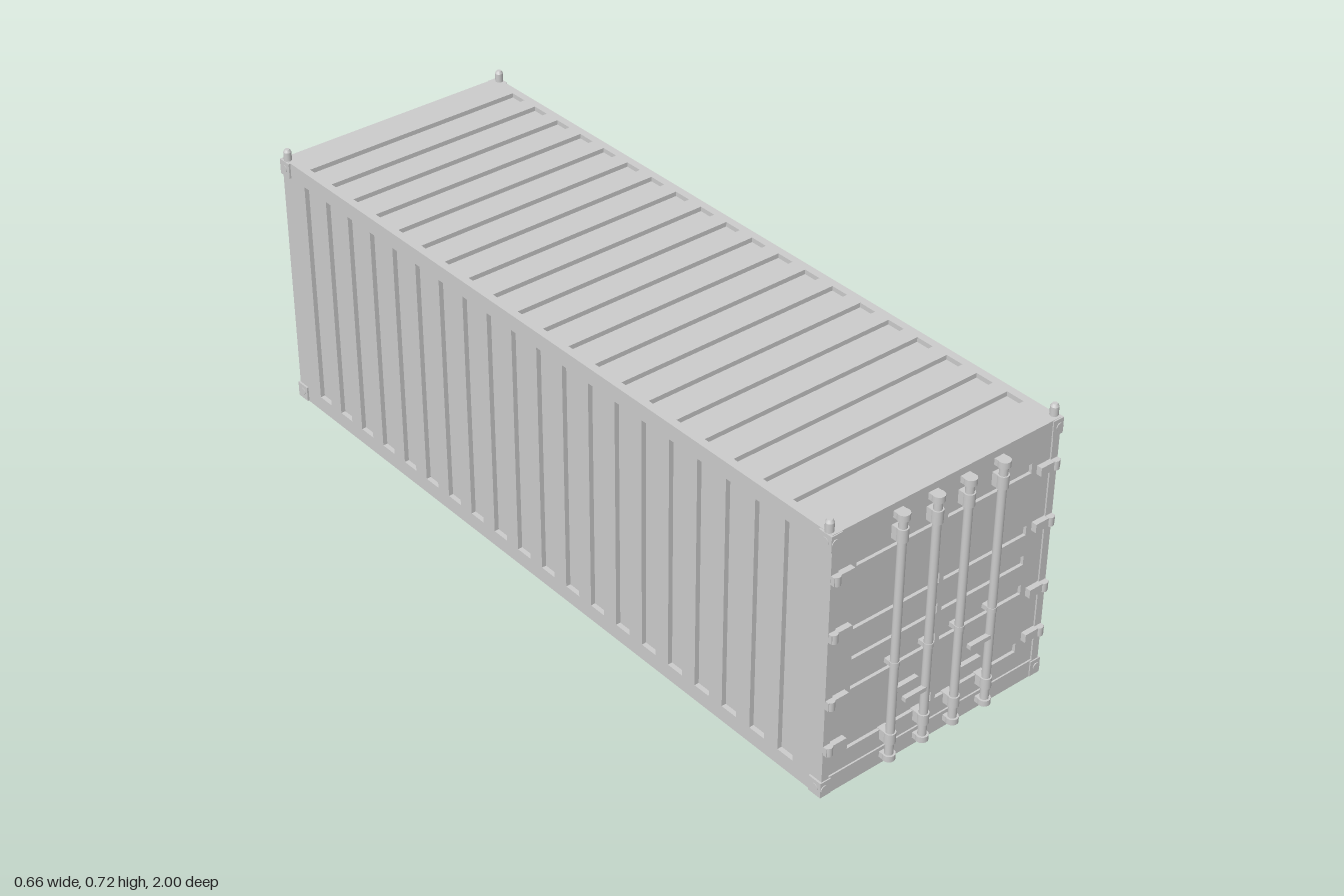
import * as THREE from 'three';

const W = 0.65, H = 0.692, L = 1.963, ZC = -0.0135; // body size and its z centre
const D = 0.012; // groove depth
const mat = new THREE.MeshStandardMaterial({ color: 0xcccccc });

function add(parent, name, geometry, x = 0, y = 0, z = 0) {
  const mesh = new THREE.Mesh(geometry, mat);
  mesh.name = name;
  mesh.position.set(x, y, z);
  parent.add(mesh);
  return mesh;
}

const box = (w, h, d) => new THREE.BoxGeometry(w, h, d);
const cylinder = (r, h, n = 16, top = r) => new THREE.CylinderGeometry(top, r, h, n);

// Flat plate with rectangular openings [cx, cy, w, h], facing +z
function plate(w, h, holes, depth) {
  const rect = (Type, x, y, rw, rh) => {
    const p = new Type();
    p.moveTo(x - rw / 2, y - rh / 2);
    p.lineTo(x + rw / 2, y - rh / 2);
    p.lineTo(x + rw / 2, y + rh / 2);
    p.lineTo(x - rw / 2, y + rh / 2);
    p.closePath();
    return p;
  };
  const shape = rect(THREE.Shape, 0, 0, w, h);
  for (const hole of holes) shape.holes.push(rect(THREE.Path, ...hole));
  return new THREE.ExtrudeGeometry(shape, { depth, bevelEnabled: false });
}

// Evenly spaced vertical grooves
function grooves(count, pitch, width, height) {
  return Array.from({ length: count }, (_, i) => [(i - (count - 1) / 2) * pitch, 0, width, height]);
}

function lockingRod(x, handleY, handleDir) {
  const rod = new THREE.Group();
  rod.name = 'lockingRod';
  rod.position.set(x, 0, 0.984);
  add(rod, 'rodBar', cylinder(0.01, 0.65), 0, 0.347, 0);
  // Cams at the ends, guide collars and a small middle ring
  for (const [y, h, r] of [[0.666, 0.016, 0.015], [0.028, 0.015, 0.015],
    [0.62, 0.033, 0.0135], [0.081, 0.028, 0.0135], [0.283, 0.012, 0.0115]]) {
    add(rod, 'rodCollar', cylinder(r, h), 0, y, 0);
    add(rod, 'rodBracket', box(r * 1.8, h, 0.03), 0, y, -0.015);
  }
  add(rod, 'rodHandle', box(0.066, 0.011, 0.012), handleDir * 0.033, handleY, 0.003);
  return rod;
}

export function createModel() {
  const root = new THREE.Group();
  root.name = 'shippingContainer';
  const zFront = ZC + L / 2, zBack = ZC - L / 2;

  // Inner core forms the groove floors
  add(root, 'innerCore', box(W - 2 * D, H - 2 * D, L - 4 * D), 0, H / 2, ZC);

  // Corrugated side walls
  for (const s of [-1, 1]) {
    const wall = add(root, 'sideWall', plate(L, H, grooves(20, 0.0912, 0.048, 0.61), D),
      s * (W / 2 - D), H / 2, ZC);
    wall.rotation.y = s * Math.PI / 2;
  }

  // Corrugated roof and floor
  for (const s of [-1, 1]) {
    const deck = new THREE.Group();
    deck.name = s > 0 ? 'roof' : 'floor';
    deck.position.set(0, H / 2 + s * (H / 2 - D), ZC);
    deck.rotation.x = -s * Math.PI / 2;
    const panel = add(deck, 'corrugatedPanel', plate(L, W, grooves(20, 0.0912, 0.048, 0.61), D));
    panel.rotation.z = Math.PI / 2;
    root.add(deck);
  }

  // Corrugated back wall
  const back = add(root, 'backWall', plate(W, H, grooves(6, 0.1, 0.05, 0.605), 2 * D), 0, H / 2, zBack + 2 * D);
  back.rotation.y = Math.PI;
  add(root, 'backInnerPanel', box(W - 0.02, H - 0.02, D), 0, H / 2, zBack + 1.5 * D);

  // Front frame and doors with pressed horizontal grooves
  add(root, 'doorFrame', plate(W, H, [[0, 0.0015, 0.61, 0.605]], 2 * D), 0, H / 2, zFront - 2 * D);
  const pressings = [];
  for (const y of [0.59, 0.427, 0.347, 0.267, 0.105]) {
    for (const s of [-1, 1]) pressings.push([s * 0.129, y - H / 2, 0.245, 0.025]);
  }
  add(root, 'doors', plate(0.612, 0.61, pressings, 0.014), 0, H / 2, zFront - 0.018);
  add(root, 'doorInnerPanel', box(0.612, 0.61, 0.014), 0, H / 2, zFront - 0.019);

  // Hinges
  for (const s of [-1, 1]) {
    for (const y of [0.579, 0.431, 0.253, 0.129]) {
      const hinge = new THREE.Group();
      hinge.name = 'hinge';
      add(hinge, 'hingeStrap', box(0.057, 0.022, 0.018), s * 0.296, y, zFront + 0.001);
      add(hinge, 'hingePin', cylinder(0.01, 0.023), s * 0.314, y, zFront + 0.005);
      root.add(hinge);
    }
  }

  // Locking rods
  root.add(lockingRod(-0.145, 0.212, 1), lockingRod(-0.047, 0.168, -1),
    lockingRod(0.044, 0.168, 1), lockingRod(0.142, 0.212, -1));

  // Corner castings with lock bosses, and twist-lock pins on the roof
  for (const sx of [-1, 1]) {
    for (const z of [zFront - 0.016, zBack + 0.016]) {
      const sz = Math.sign(z);
      for (const y of [0.022, 0.671]) {
        const corner = new THREE.Group();
        corner.name = 'cornerCasting';
        add(corner, 'castingBlock', box(0.03, 0.04, 0.038), sx * 0.315, y, z);
        const boss = add(corner, 'castingBoss', cylinder(0.01, 0.006), sx * 0.319, y, z + sz * 0.018);
        boss.rotation.x = Math.PI / 2;
        const sideBoss = add(corner, 'castingBoss', cylinder(0.01, 0.004), sx * 0.329, y, z);
        sideBoss.rotation.z = Math.PI / 2;
        root.add(corner);
      }
      add(root, 'twistLockPin', cylinder(0.01, 0.024), sx * 0.319, 0.702, z);
      add(root, 'twistLockTip', cylinder(0.01, 0.007, 16, 0.006), sx * 0.319, 0.7175, z);
    }
  }
  return root;
}
